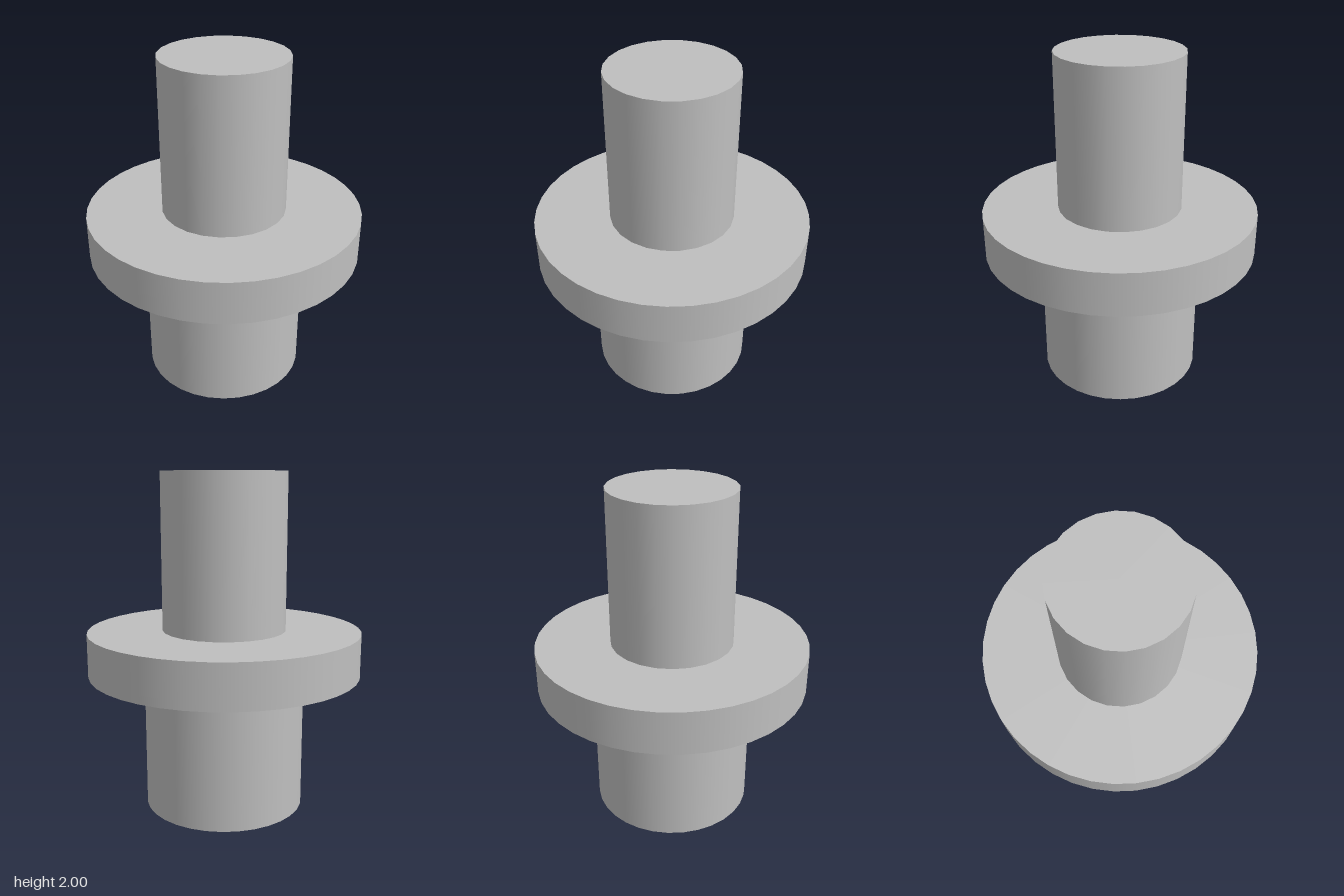
import * as THREE from 'three';

export function createModel() {
  const model = new THREE.Group();
  model.name = 'flangedShaft';
  const grey = new THREE.MeshStandardMaterial({ color: 0xbfbfbf });
  grey.name = 'plain grey';

  // One coaxial cylinder between two heights
  const addCylinder = (name, radius, bottom, top, sides) => {
    const height = top - bottom;
    const mesh = new THREE.Mesh(new THREE.CylinderGeometry(radius, radius, height, sides), grey);
    mesh.name = name;
    mesh.position.y = bottom + height / 2;
    model.add(mesh);
  };

  addCylinder('lowerShaft', 0.48, 0, 0.82, 32);
  addCylinder('flange', 0.812, 0.82, 1.077, 40);
  addCylinder('upperShaft', 0.368, 1.077, 2, 24);

  return model;
}
